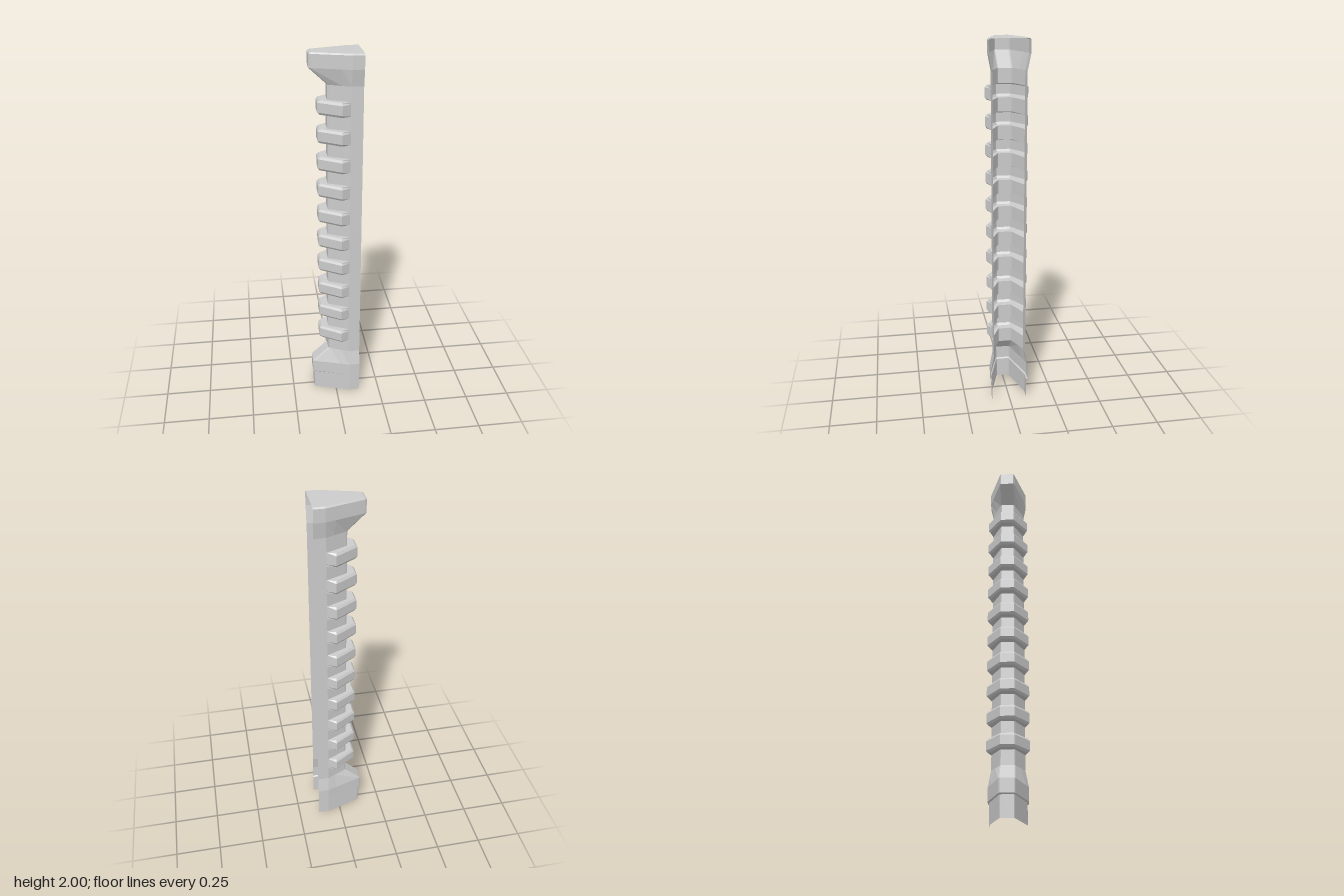
import * as THREE from 'three';

const material = new THREE.MeshStandardMaterial({ color: 0xcccccc, flatShading: true, side: THREE.DoubleSide });
const BACK = 0.133; // open side of the channel

// Cross-section as a path from the +z open edge, round the nose, to the -z edge.
// shoulder, tip and nose are [x, z]; the nose corner gets a small chamfer.
function section(y, shoulder, tip, nose) {
  const half = [
    [BACK, shoulder[1]], shoulder, tip,
    [nose[0] + 0.008, nose[1]], [nose[0], nose[1] - 0.006],
  ];
  const mirrored = half.map(([x, z]) => [x, -z]).reverse();
  return [...half, ...mirrored].map(([x, z]) => new THREE.Vector3(x, y, z));
}

// Section whose side is straight between shoulder and nose
function plain(y, shoulder, nose) {
  const t = (shoulder[0] - 0.025) / (shoulder[0] - nose[0] - 0.008);
  return section(y, shoulder, [0.025, shoulder[1] + (nose[1] - shoulder[1]) * t], nose);
}

const shaft = (y) => plain(y, [0.07, 0.088], [-0.042, 0.04]);
const flange = (y, inset = 0) => plain(y, [0.075, 0.105 - inset], [-0.133 + inset, 0.042 - inset * 0.4]);
const rib = (y, inset = 0) => section(y, [0.07, 0.088], [0.025, 0.113 - inset], [-0.092 + inset, 0.043 - inset * 0.3]);

// Open shell through a list of sections, optionally closed on top
function loft(name, rings, closeTop = false) {
  const points = [];
  const tri = (a, b, c) => {
    const area = b.clone().sub(a).cross(c.clone().sub(a)).length();
    if (area > 1e-9) points.push(a, b, c);
  };
  for (let i = 0; i < rings.length - 1; i++) {
    const low = rings[i], high = rings[i + 1];
    for (let j = 0; j < low.length - 1; j++) {
      tri(low[j], high[j], high[j + 1]);
      tri(low[j], high[j + 1], low[j + 1]);
    }
  }
  if (closeTop) {
    const top = rings[rings.length - 1];
    for (let j = 1; j < top.length - 1; j++) tri(top[0], top[j + 1], top[j]);
  }
  const geometry = new THREE.BufferGeometry().setFromPoints(points);
  geometry.computeVertexNormals();
  const mesh = new THREE.Mesh(geometry, material);
  mesh.name = name;
  return mesh;
}

export function createModel() {
  const group = new THREE.Group();
  group.name = 'ribbedColumn';

  // Recessed skirt and flared foot
  group.add(loft('skirt', [flange(0, 0.008), flange(0.112, 0.008)]));
  group.add(loft('footFlange', [flange(0.112, 0.008), flange(0.118), flange(0.19), shaft(0.275)]));

  // Ribs pressed out of the shaft, with plain shaft between them
  const half = 0.037, bevel = 0.012;
  let y = 0.275;
  for (let i = 0; i < 10; i++) {
    const c = 0.393 + i * 0.1482;
    group.add(loft('shaftSegment', [shaft(y), shaft(c - half)]));
    group.add(loft('rib', [
      shaft(c - half), rib(c - half, 0.01), rib(c - half + bevel),
      rib(c + half - bevel), rib(c + half, 0.01), shaft(c + half),
    ]));
    y = c + half;
  }
  group.add(loft('shaftSegment', [shaft(y), shaft(1.84)]));

  // Flared head with a bevelled, closed top
  group.add(loft('headFlange', [shaft(1.84), flange(1.925), flange(1.993), flange(2, 0.008)], true));
  return group;
}
